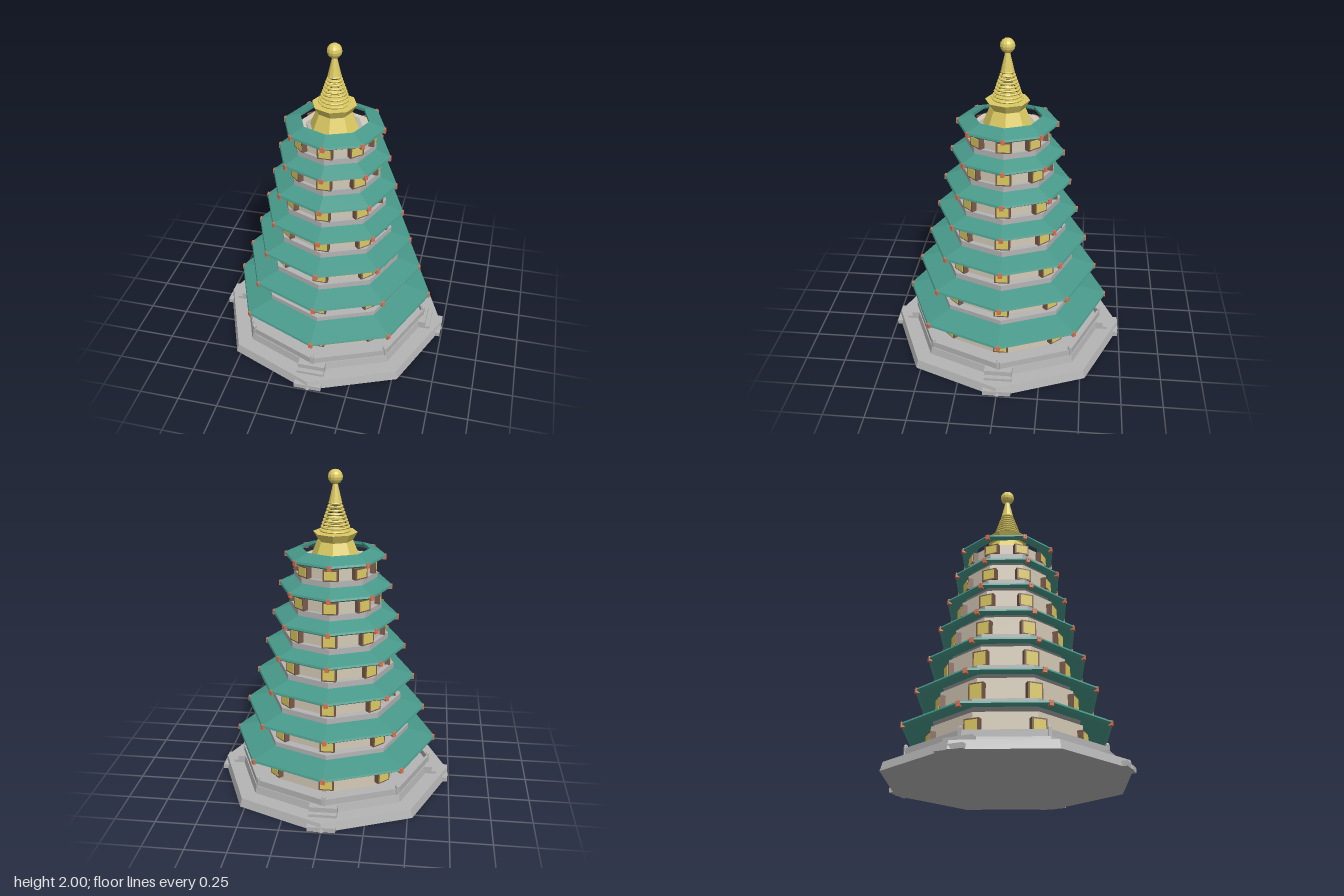
import * as THREE from 'three';

const mat = (color, side = THREE.FrontSide) =>
  new THREE.MeshStandardMaterial({ color, side, flatShading: true });

export function createModel() {
  const model = new THREE.Group();
  const stone = mat(0xb4b4b4), plaster = mat(0xd4cab6), tile = mat(0x48998a, THREE.DoubleSide);
  const gold = mat(0xdcca62), wood = mat(0x7a5a4c), orange = mat(0xdd7050);

  const add = (name, geometry, material, parent = model) => {
    const mesh = new THREE.Mesh(geometry, material);
    mesh.name = name;
    parent.add(mesh);
    return mesh;
  };
  // Octagonal drum with corners on the axes
  const drum = (name, rBottom, rTop, y0, y1, material) => {
    const m = add(name, new THREE.CylinderGeometry(rTop, rBottom, y1 - y0, 8), material);
    m.position.y = (y0 + y1) / 2;
    return m;
  };
  // Group turned to face direction i of 8
  const facing = (name, i) => {
    const g = new THREE.Group();
    g.name = name;
    g.rotation.y = i * Math.PI / 4;
    model.add(g);
    return g;
  };
  const box = (name, w, h, d, x, y, z, material, parent) => {
    const m = add(name, new THREE.BoxGeometry(w, h, d), material, parent);
    m.position.set(x, y, z);
    return m;
  };

  // Stone terrace
  drum('lowerTerrace', 0.75, 0.735, 0, 0.053, stone);
  drum('upperTerrace', 0.635, 0.625, 0.053, 0.1, stone);

  // Low parapet with corner posts
  const railR = 0.61, apothem = railR * Math.cos(Math.PI / 8);
  for (let i = 0; i < 8; i++) {
    const side = facing('parapet', i + 0.5);
    box('parapetWall', 2 * railR * Math.sin(Math.PI / 8), 0.042, 0.016, 0, 0.12, apothem, stone, side);
    const corner = facing('parapetCorner', i);
    box('parapetPost', 0.02, 0.055, 0.02, 0, 0.125, railR, stone, corner);
    const knob = add('postKnob', new THREE.SphereGeometry(0.012, 6, 4), stone, corner);
    knob.position.set(0, 0.153, railR);
  }

  // Stairs on the four axes: [front z, top y]
  for (let i = 0; i < 8; i += 2) {
    const stairs = facing('stairs', i);
    for (const [z, top] of [[0.742, 0.03], [0.67, 0.07], [0.64, 0.1]])
      box('step', 0.17, top, 0.14, 0, top / 2, z - 0.07, stone, stairs);
  }

  // Storeys: wall radius, wall base, balcony radius, window height, eave radius, eave y, roof top y, roof inner radius
  const storeys = [
    [0.47, 0.10, 0, 0.12, 0.65, 0.265, 0.334, 0.46],
    [0.42, 0.36, 0.475, 0.108, 0.575, 0.48, 0.546, 0.405],
    [0.375, 0.578, 0.42, 0.1, 0.505, 0.69, 0.753, 0.355],
    [0.335, 0.79, 0.37, 0.092, 0.445, 0.894, 0.954, 0.315],
    [0.3, 0.99, 0.33, 0.085, 0.397, 1.087, 1.156, 0.275],
    [0.265, 1.188, 0.287, 0.078, 0.352, 1.281, 1.347, 0.24],
    [0.235, 1.384, 0.257, 0.07, 0.313, 1.468, 1.527, 0.21],
  ];
  storeys.forEach(([wallR, base, balconyR, winH, eaveR, eaveY, topY, innerR], n) => {
    drum('wall', wallR, wallR, base, n === 6 ? 1.46 : eaveY + 0.02, plaster);
    if (balconyR) drum('balcony', balconyR, balconyR, base - 0.036, base, stone);

    // Tiled roof ring with a bevelled eave
    const profile = [
      [innerR, topY - 0.018], [eaveR - 0.02, eaveY], [eaveR, eaveY + 0.012],
      [eaveR - 0.005, eaveY + 0.024], [innerR, topY], [innerR, topY - 0.018],
    ].map(p => new THREE.Vector2(...p));
    add('roof', new THREE.LatheGeometry(profile, 8), tile);

    // Framed windows and eave ornaments at the corners
    const winY = base + winH / 2 + (n ? 0 : 0.025);
    for (let i = 0; i < 8; i++) {
      const g = facing('cornerBay', i);
      box('windowFrame', 0.092, winH, 0.05, 0, winY, wallR - 0.01, wood, g);
      box('windowPane', 0.072, winH - 0.018, 0.05, 0, winY, wallR - 0.007, gold, g);
      box('eaveOrnament', 0.024, 0.03, 0.024, 0, eaveY + 0.011, eaveR - 0.014, orange, g);
    }
  });

  // Finial: pedestal, flared crown, rings, spire and ball
  drum('finialPlinth', 0.175, 0.175, 1.45, 1.475, stone);
  drum('finialPedestal', 0.15, 0.108, 1.475, 1.575, gold);
  drum('finialCrown', 0.105, 0.135, 1.575, 1.625, gold);
  const rings = 9;
  for (let i = 0; i < rings; i++) {
    const t = i / (rings - 1);
    const ring = add('finialRing', new THREE.TorusGeometry(0.09 - 0.055 * t, 0.007, 6, 16), gold);
    ring.rotation.x = Math.PI / 2;
    ring.position.y = 1.637 + 0.163 * t;
  }
  const spire = add('spire', new THREE.CylinderGeometry(0.012, 0.04, 0.12, 10), gold);
  spire.position.y = 1.865;
  const ball = add('finialBall', new THREE.SphereGeometry(0.045, 12, 8), gold);
  ball.position.y = 1.955;

  return model;
}
